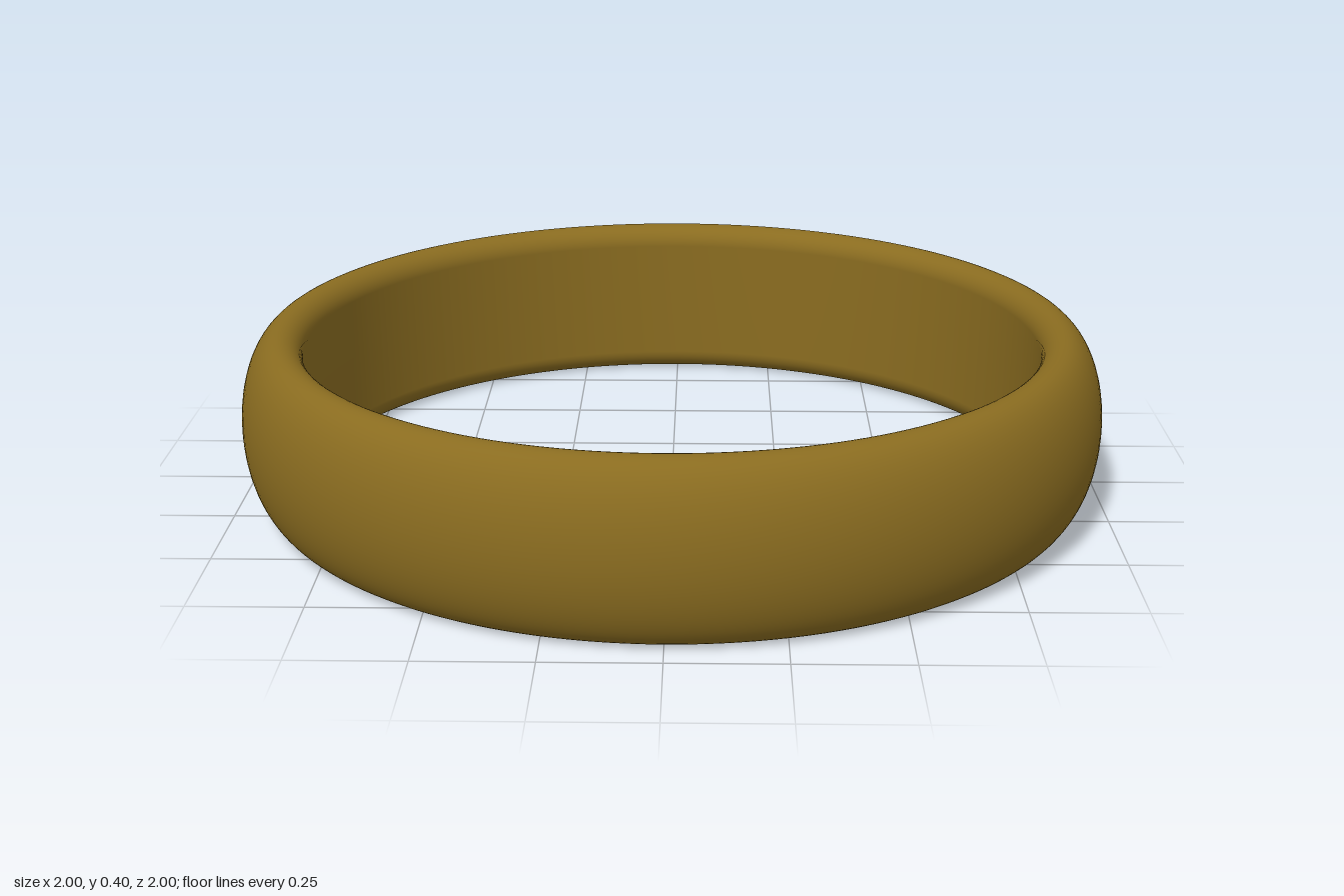
import * as THREE from 'three';

export function createModel() {
  const group = new THREE.Group();
  const gold = new THREE.MeshStandardMaterial({ color: 0x8a6c20 });

  const height = 0.4, mid = height / 2;
  const crown = 0.905;  // radius where the rim is highest
  const outer = 1, inner = 0.855;
  const fillet = 0.05;  // softened inner edge

  // Closed band section: domed outside, straight inside with rounded edges
  const profile = [];
  const arc = (cx, cy, rx, ry, from, to, steps) => {
    for (let i = 0; i <= steps; i++) {
      const a = from + (to - from) * i / steps;
      profile.push(new THREE.Vector2(cx + rx * Math.cos(a), cy + ry * Math.sin(a)));
    }
  };
  const q = Math.PI / 2;
  profile.push(new THREE.Vector2(inner, mid));
  arc(crown, fillet, crown - inner, fillet, 2 * q, 3 * q, 10);
  profile.pop(); // shared with the start of the dome
  arc(crown, mid, outer - crown, mid, -q, q, 36);
  profile.pop(); // shared with the start of the upper edge
  arc(crown, height - fillet, crown - inner, fillet, q, 2 * q, 10);
  profile.push(new THREE.Vector2(inner, mid));

  const band = new THREE.Mesh(new THREE.LatheGeometry(profile, 160), gold);
  band.name = 'ringBand';
  group.add(band);
  return group;
}
